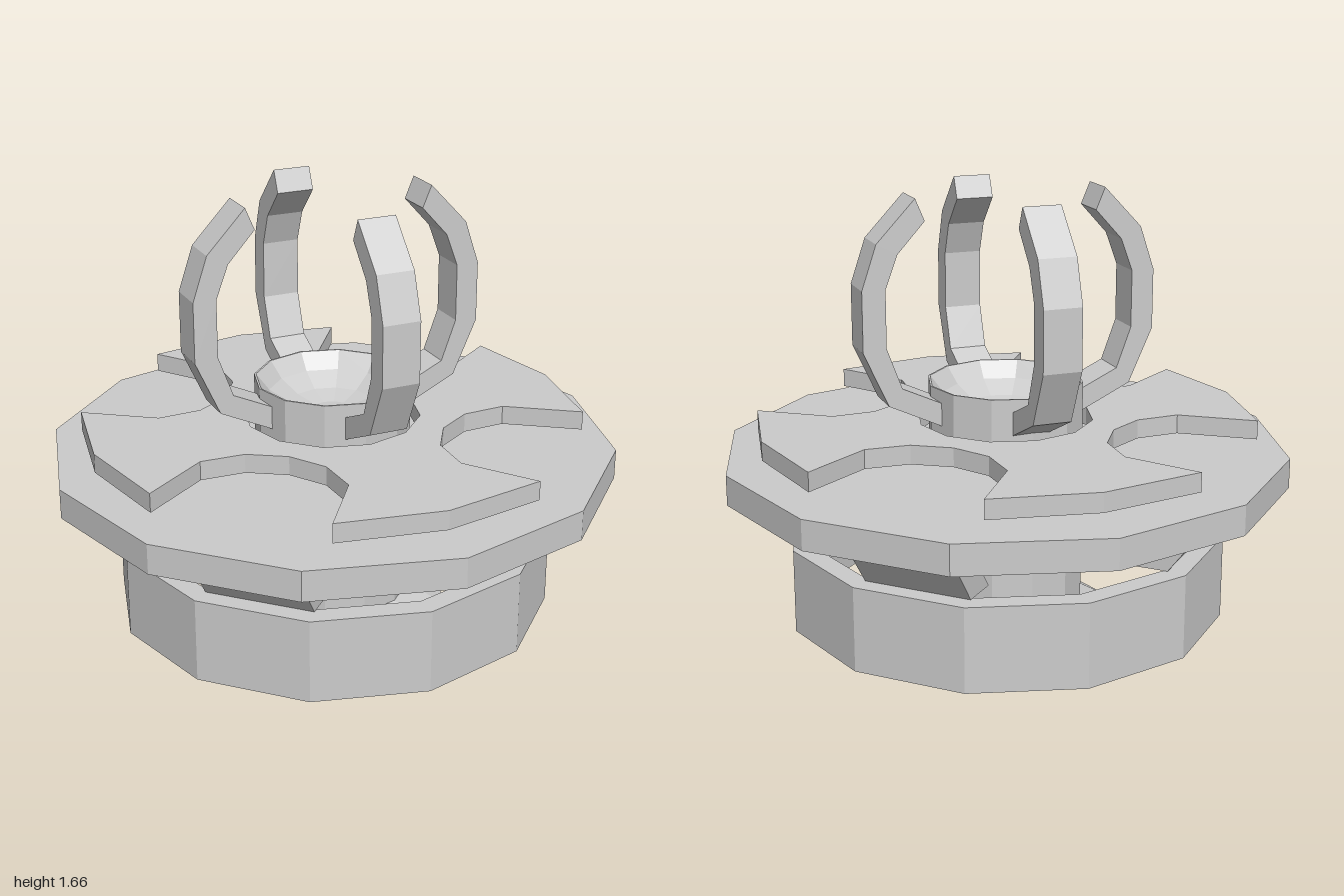
import * as THREE from 'three';

const SIDES = 12;
const HALF_STEP = Math.PI / SIDES; // turns flat sides toward the axes
const material = new THREE.MeshStandardMaterial({ color: 0xcccccc, flatShading: true });

const points = (list) => list.map(([x, y]) => new THREE.Vector2(x, y));

function addMesh(parent, name, geometry) {
  const mesh = new THREE.Mesh(geometry, material);
  mesh.name = name;
  parent.add(mesh);
  return mesh;
}

// Twelve-sided turned part; profile runs counter-clockwise in (radius, y)
function turned(profile) {
  return new THREE.LatheGeometry(points(profile), SIDES, HALF_STEP);
}

// Extrudes a (radius, y) outline to a bar centred on its own plane
function bar(outline, width) {
  const geometry = new THREE.ExtrudeGeometry(new THREE.Shape(points(outline)), {
    depth: width, bevelEnabled: false,
  });
  return geometry.translate(0, 0, -width / 2);
}

export function createModel() {
  const model = new THREE.Group();
  model.name = 'clawPedestal';

  // Hollow column with flared foot and a shallow bowl on top
  addMesh(model, 'column', turned([
    [0, 0.55], [0.215, 0.55], [0.215, 0.08], [0.42, 0], [0.44, 0], [0.44, 0.05],
    [0.285, 0.14], [0.285, 0.97], [0.278, 0.97], [0.23, 0.91], [0.155, 0.865],
    [0.075, 0.842], [0, 0.842],
  ]));

  // Open lower ring
  addMesh(model, 'lowerRing', turned([
    [0.725, 0.1], [0.807, 0.1], [0.807, 0.41], [0.725, 0.41], [0.725, 0.1],
  ]));

  // Wide disc
  const disc = new THREE.CylinderGeometry(1.035, 1.035, 0.11, SIDES, 1, false, HALF_STEP);
  addMesh(model, 'disc', disc.translate(0, 0.665, 0));

  // Cross plate: four splayed arms separated by round scallops
  const quarter = [
    [-0.15, 0.46], [0, 0.425], [0.15, 0.46], [0.27, 0.57], [0.32, 0.86],
    [0.64, 0.64], [0.86, 0.32], [0.57, 0.27],
  ];
  const outline = [];
  for (let k = 0; k < 4; k++) {
    for (const p of points(quarter)) {
      outline.push(p.rotateAround(new THREE.Vector2(), -k * Math.PI / 2));
    }
  }
  const plate = new THREE.Shape(outline);
  const hole = [];
  for (let i = 0; i < SIDES; i++) {
    const a = HALF_STEP * (2 * i + 1);
    hole.push([0.322 * Math.cos(a), 0.322 * Math.sin(a)]);
  }
  plate.holes.push(new THREE.Path(points(hole)));
  const plateGeometry = new THREE.ExtrudeGeometry(plate, { depth: 0.07, bevelEnabled: false });
  plateGeometry.rotateX(-Math.PI / 2).translate(0, 0.76, 0);
  addMesh(model, 'crossPlate', plateGeometry);

  // Slanted struts on the axes, curved claws on the diagonals
  const strut = bar([[0.57, 0.41], [0.71, 0.41], [0.86, 0.612], [0.73, 0.612]], 0.4);
  const claw = bar([
    [0.26, 0.835], [0.46, 0.93], [0.55, 1.13], [0.55, 1.35], [0.496, 1.51], [0.354, 1.66],
    [0.32, 1.58], [0.42, 1.47], [0.465, 1.35], [0.465, 1.14], [0.41, 0.99], [0.26, 0.92],
  ], 0.14);
  for (let k = 0; k < 4; k++) {
    const turn = k * Math.PI / 2;
    addMesh(model, 'strut', strut).rotation.y = turn;
    addMesh(model, 'claw', claw).rotation.y = turn + Math.PI / 4;
  }

  return model;
}
